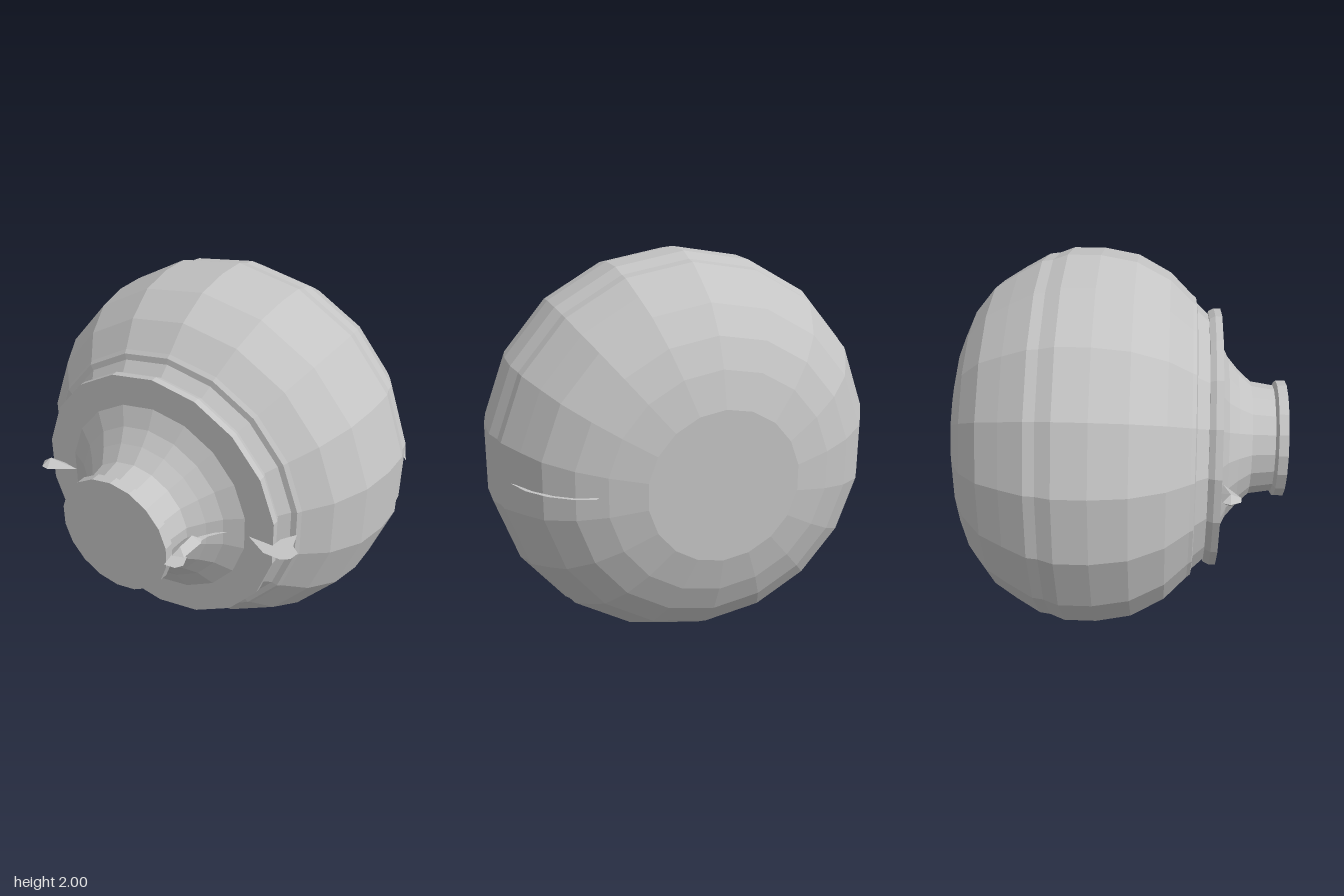
import * as THREE from 'three';
import { ConvexGeometry } from 'three/addons/geometries/ConvexGeometry.js';

const clay = new THREE.MeshStandardMaterial({ color: 0xc4c4c4, flatShading: true });
clay.name = 'greyClay';
const clayThin = clay.clone();
clayThin.name = 'greyClayThin';
clayThin.side = THREE.DoubleSide;

export function createModel() {
  const group = new THREE.Group();
  group.name = 'jar';

  const add = (name, geometry, material = clay) => {
    const mesh = new THREE.Mesh(geometry, material);
    mesh.name = name;
    mesh.position.y = 1;
    group.add(mesh);
  };

  // Turned part lying along z; profile is [radius, z] from back to front
  const turned = (name, profile) => add(name, new THREE.LatheGeometry(
    profile.map(([r, z]) => new THREE.Vector2(r, z)), 18).rotateX(Math.PI / 2));

  // Thin flat fragment in the horizontal mid plane, outline is [x, z]
  const plate = (name, outline) => add(name, new THREE.ShapeGeometry(
    new THREE.Shape(outline.map(([x, z]) => new THREE.Vector2(x, z)))).rotateX(Math.PI / 2), clayThin);

  // Faceted chip: mid-plane outline plus upper and lower ridge points
  const chip = (name, outline, ridge, h) => add(name, new ConvexGeometry([
    ...outline.map(([x, z]) => new THREE.Vector3(x, 0, z)),
    ...ridge.flatMap(([x, z]) => [new THREE.Vector3(x, h, z), new THREE.Vector3(x, -h, z)]),
  ]));

  turned('body', [
    [0, -0.885], [0.375, -0.885], [0.55, -0.84], [0.69, -0.775], [0.82, -0.67],
    [0.895, -0.55], [0.965, -0.425], [0.972, -0.37], [1, -0.295], [1, -0.13],
    [0.967, 0.05], [0.875, 0.22], [0.8, 0.295], [0.76, 0.335], [0.745, 0.355],
    [0.715, 0.36], [0.66, 0.42],
  ]);
  turned('shoulderFlange', [[0.64, 0.42], [0.675, 0.42], [0.69, 0.45], [0.69, 0.485], [0.5, 0.485]]);
  turned('neck', [[0.53, 0.485], [0.435, 0.53], [0.37, 0.585], [0.305, 0.655], [0.285, 0.78]]);
  turned('rim', [[0.285, 0.775], [0.312, 0.79], [0.312, 0.84], [0, 0.84]]);

  // Handle remains at the left (+x) side
  chip('neckHandleStub', [[0.30, 0.68], [0.32, 0.63], [0.37, 0.63], [0.385, 0.66], [0.375, 0.79], [0.32, 0.81], [0.295, 0.77]],
    [[0.34, 0.67], [0.34, 0.77]], 0.035);
  plate('neckHandleTip', [[0.315, 0.8], [0.33, 0.785], [0.385, 0.78], [0.405, 0.84], [0.38, 0.875], [0.325, 0.88]]);
  plate('neckHandleRoot', [[0.47, 0.495], [0.40, 0.55], [0.33, 0.65], [0.375, 0.65], [0.385, 0.6], [0.42, 0.55]]);
  plate('shoulderHandleFragment', [[0.55, 0.492], [0.68, 0.49], [0.69, 0.43], [0.74, 0.355], [0.765, 0.44],
    [0.81, 0.475], [0.8, 0.53], [0.76, 0.56], [0.67, 0.56]]);
  plate('backHandleStrip', [[0.58, -0.82], [0.6, -0.838], [0.69, -0.81], [0.8, -0.735], [0.88, -0.64],
    [0.93, -0.525], [0.915, -0.54], [0.85, -0.65], [0.77, -0.735], [0.68, -0.795]]);

  // Handle remains at the right (-x) side
  chip('rightHandleStub', [[-0.705, 0.53], [-0.69, 0.49], [-0.6, 0.487], [-0.51, 0.5], [-0.58, 0.545], [-0.64, 0.585], [-0.68, 0.58]],
    [[-0.66, 0.53]], 0.033);

  return group;
}
